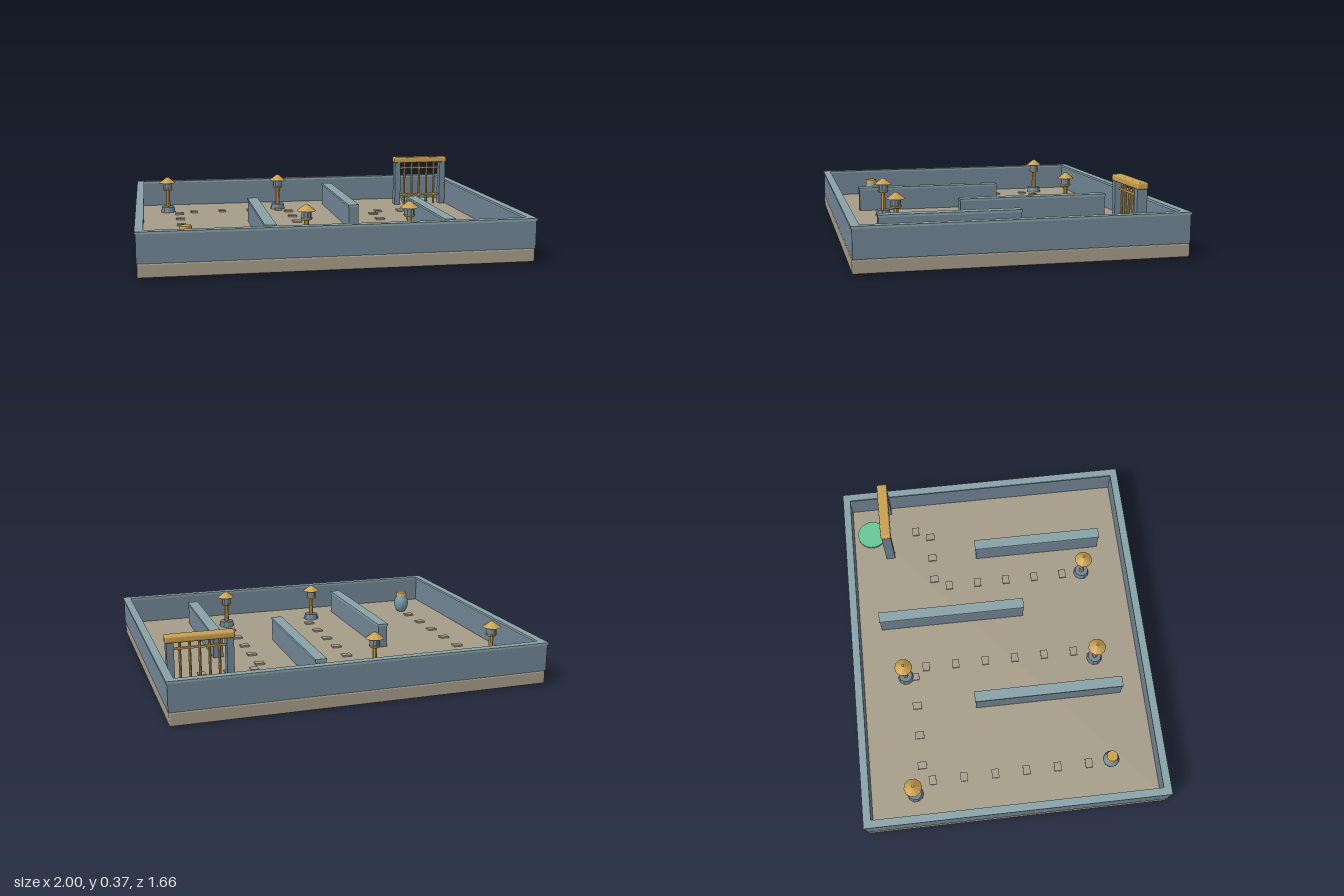
import * as THREE from 'three';
import { RoundedBoxGeometry } from 'three/addons/geometries/RoundedBoxGeometry.js';

const mat = (name, color, extra = {}) => {
  const m = new THREE.MeshStandardMaterial({ color, ...extra });
  m.name = name;
  return m;
};

export function createModel() {
  const root = new THREE.Group();
  const stone = mat('sandstone', 0xa59b88);
  const slate = mat('slate', 0x718494, { flatShading: true });
  const coping = mat('paleSlate', 0x87a1a7);
  const gold = mat('gold', 0xc99f50, { flatShading: true });
  const glaze = mat('potGlaze', 0x7598a8);
  const green = mat('jadeGreen', 0x66c797);
  const FLOOR = 0.07;

  const add = (parent, name, geometry, material, x, y, z) => {
    const mesh = new THREE.Mesh(geometry, material);
    mesh.name = name;
    mesh.position.set(x, y, z);
    parent.add(mesh);
    return mesh;
  };
  const group = (name, x = 0, y = 0, z = 0) => {
    const g = new THREE.Group();
    g.name = name;
    g.position.set(x, y, z);
    root.add(g);
    return g;
  };
  const box = (w, h, d) => new THREE.BoxGeometry(w, h, d);
  const drum = (top, bottom, h, n = 10) => new THREE.CylinderGeometry(top, bottom, h, n);

  // Rounded floor slab
  add(root, 'floorSlab', new RoundedBoxGeometry(1.984, FLOOR, 1.654, 2, 0.008), stone, 0, FLOOR / 2, 0);

  // A wall with a slightly wider coping on top
  const wall = (name, x, z, w, d, top, lip) => {
    const g = group(name, x, 0, z);
    const h = top - 0.012 - FLOOR;
    add(g, 'wallBody', box(w - lip, h, d - lip), slate, 0, FLOOR + h / 2, 0);
    add(g, 'wallCoping', box(w, 0.012, d), coping, 0, top - 0.006, 0);
  };

  // Outer walls
  for (const s of [-1, 1]) {
    wall('sideWall', s * 0.979, 0, 0.042, 1.66, 0.225, 0.01);
    wall('endWall', 0, s * 0.809, 1.916, 0.042, 0.225, 0.01);
  }
  // Close the corners where the end walls meet the side walls
  for (const sx of [-1, 1]) for (const sz of [-1, 1])
    add(root, 'wallCorner', box(0.03, 0.143, 0.032), slate, sx * 0.965, FLOOR + 0.0715, sz * 0.809);

  // Inner partitions: x, start z, end z
  for (const [x, z0, z1] of [[-0.335, -0.17, 0.665], [0.197, -0.67, 0.168], [0.595, -0.075, 0.665]])
    wall('partition', x, (z0 + z1) / 2, 0.06, z1 - z0, 0.205, 0.006);

  // Lanterns
  for (const [x, z] of [[-0.815, -0.55], [-0.135, -0.55], [-0.135, 0.545], [0.41, 0.545]]) {
    const g = group('lantern', x, 0, z);
    add(g, 'lanternFoot', drum(0.038, 0.045, 0.032), slate, 0, FLOOR + 0.016, 0);
    add(g, 'lanternPost', drum(0.012, 0.014, 0.11, 8), gold, 0, 0.155, 0);
    add(g, 'lanternTray', drum(0.032, 0.026, 0.012), gold, 0, 0.208, 0);
    add(g, 'lanternChamber', drum(0.027, 0.027, 0.036), slate, 0, 0.232, 0);
    add(g, 'lanternRoof', drum(0.006, 0.05, 0.034), gold, 0, 0.267, 0);
  }

  // Lidded pot
  const pot = group('pot', -0.75, FLOOR, 0.545);
  const profile = [[0, 0], [0.027, 0], [0.04, 0.025], [0.045, 0.055], [0.04, 0.08], [0.03, 0.098], [0.03, 0.108], [0, 0.108]]
    .map(([r, y]) => new THREE.Vector2(r, y));
  add(pot, 'potBody', new THREE.LatheGeometry(profile, 20), glaze, 0, 0, 0);
  add(pot, 'potLid', drum(0.03, 0.034, 0.022, 16), gold, 0, 0.113, 0);

  // Gate with posts, bars and a rounded lintel
  const gate = group('gate', 0.792, 0, -0.583);
  for (const s of [-1, 1]) add(gate, 'gatePost', box(0.036, 0.28, 0.052), slate, s * 0.148, FLOOR + 0.14, 0);
  add(gate, 'gateLintel', new RoundedBoxGeometry(0.346, 0.036, 0.06, 2, 0.01), gold, 0, 0.356, 0);
  for (let i = -2; i <= 2; i++)
    add(gate, 'gateBar', drum(0.007, 0.007, 0.275, 8), gold, i * 0.049, FLOOR + 0.1375, 0);
  for (const y of [0.13, 0.303]) add(gate, 'gateRail', box(0.26, 0.01, 0.012), gold, 0, y, 0);

  // Round goal plate behind the gate
  add(root, 'goalPlate', new THREE.CylinderGeometry(0.085, 0.085, 0.012, 32), green, 0.792, FLOOR + 0.006, -0.685);

  // Low stepping stones along the winding path: start and end of each run
  const runs = [
    [-0.75, 0.425, -0.75, -0.45, 6], [-0.66, -0.5, -0.14, -0.5, 4],
    [-0.085, -0.43, -0.085, 0.43, 6], [0.41, 0.43, 0.41, -0.25, 5],
    [0.46, -0.335, 0.74, -0.335, 3], [0.785, -0.42, 0.785, -0.45, 1],
  ];
  for (const [x0, z0, x1, z1, n] of runs) {
    const alongX = z0 === z1;
    for (let i = 0; i < n; i++) {
      const t = n > 1 ? i / (n - 1) : 0;
      add(root, 'steppingStone', box(alongX ? 0.04 : 0.05, 0.01, alongX ? 0.05 : 0.04), stone,
        x0 + (x1 - x0) * t, FLOOR + 0.004, z0 + (z1 - z0) * t);
    }
  }
  return root;
}
